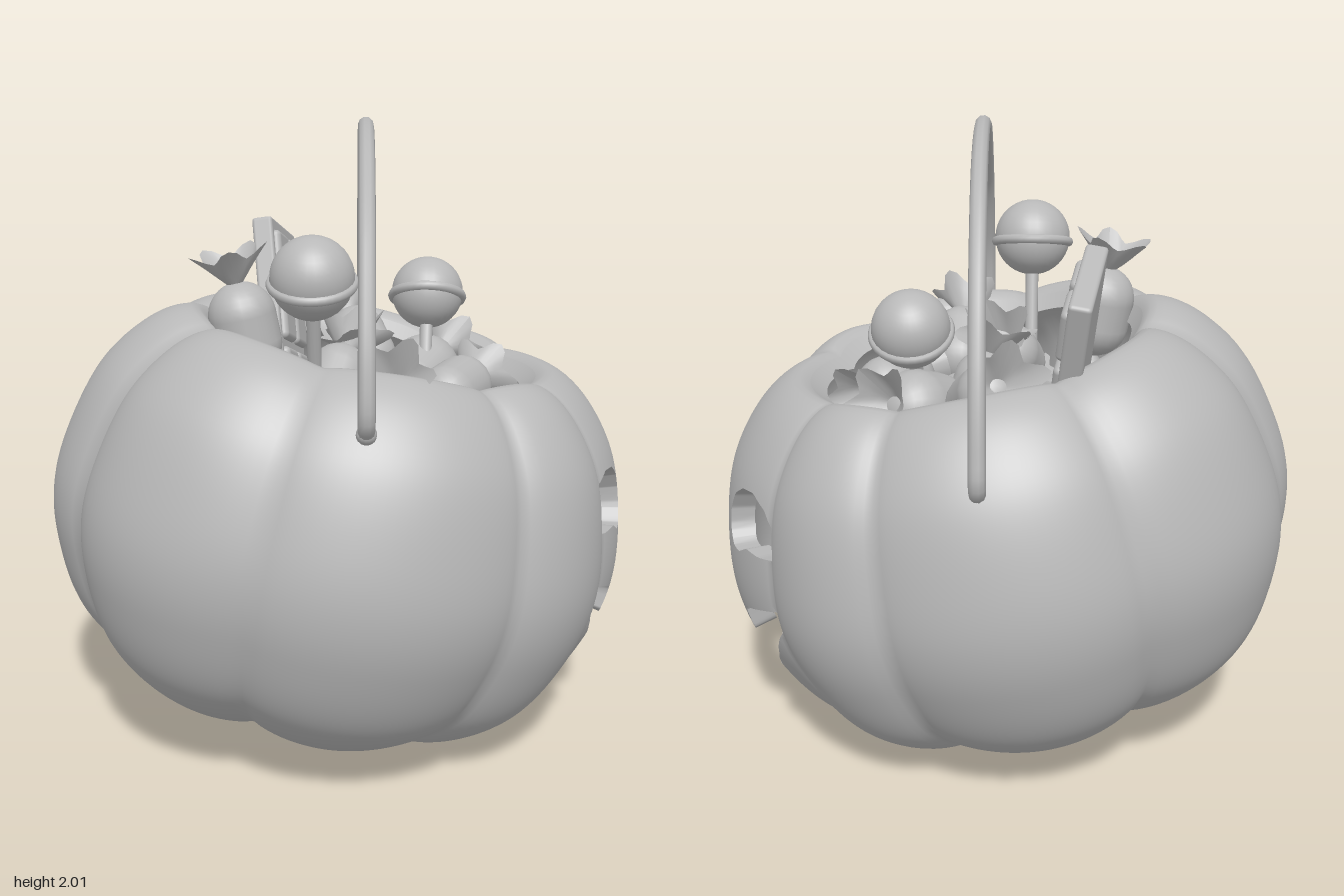
import * as THREE from 'three';
import { mergeVertices } from 'three/addons/utils/BufferGeometryUtils.js';
import { RoundedBoxGeometry } from 'three/addons/geometries/RoundedBoxGeometry.js';

const V = (x, y, z) => new THREE.Vector3(x, y, z);
const UP = V(0, 1, 0);
const grey = new THREE.MeshStandardMaterial({ color: 0xb8b8b8, side: THREE.DoubleSide });
grey.name = 'plain grey';

function add(parent, name, geometry) {
  const mesh = new THREE.Mesh(geometry, grey);
  mesh.name = name;
  parent.add(mesh);
  return mesh;
}

function fromTriangles(points) {
  const g = mergeVertices(new THREE.BufferGeometry().setFromPoints(points), 1e-4);
  g.computeVertexNormals();
  return g;
}

// Face cut-outs as [z, y] outlines, cut through the +x side
const eye = [[.49, .75], [.47, .83], [.42, .89], [.35, .92], [.28, .91], [.22, .87], [.19, .81],
  [.19, .75], [.23, .70], [.29, .70], [.35, .735], [.42, .735]];
const cutouts = [
  eye,
  eye.map(([z, y]) => [.035 - z, y]),
  [[.035, .75], [.015, .75], [-.04, .635], [-.025, .615], [.075, .615], [.09, .635]],
  [[.49, .585], [.28, .495], [.28, .415], [.265, .4], [.175, .4], [.16, .415], [.16, .47], [-.105, .47],
    [-.105, .415], [-.12, .4], [-.21, .4], [-.225, .415], [-.235, .495], [-.455, .58], [-.455, .515],
    [-.365, .39], [-.275, .30], [-.155, .245], [0, .223], [.165, .245], [.29, .31], [.40, .415], [.485, .535]],
];

// Signed distance to an outline, negative inside
function outlineDistance(poly, z, y) {
  let d = Infinity, inside = false;
  poly.forEach(([az, ay], i) => {
    const [bz, by] = poly[(i + 1) % poly.length];
    const ez = bz - az, ey = by - ay;
    const t = THREE.MathUtils.clamp(((z - az) * ez + (y - ay) * ey) / (ez * ez + ey * ey), 0, 1);
    d = Math.min(d, Math.hypot(z - az - ez * t, y - ay - ey * t));
    if ((ay > y) !== (by > y) && z < az + ez * (y - ay) / ey) inside = !inside;
  });
  return inside ? -d : d;
}

// Lobed, tilted bucket: outer skin, inner skin and the walls of every cut
function buildPumpkin(root) {
  const NU = 200, NV = 90;
  const profile = new THREE.CatmullRomCurve3([[0, -.52], [.15, -.57], [.35, -.655], [.56, -.615], [.78, -.45],
    [.895, -.22], [.93, -.04], [.91, .15], [.835, .38], [.72, .53], [.63, .59], [.57, .6], [.53, .57]]
    .map(([r, y]) => V(r, y, 0))).getSpacedPoints(NV);
  // Grooves between lobes: angle in degrees, depth
  const grooves = [[-31, .04], [31, .04], [61, .055], [113, .06], [161, .07],
    [199, .07], [250, .065], [301, .055], [329, .04]].map(([a, d]) => [THREE.MathUtils.degToRad(a), d]);
  const lobe = angle => {
    const a = angle >= grooves[8][0] ? angle - 2 * Math.PI : angle;
    const k = Math.max(0, grooves.findLastIndex(g => a >= g[0]));
    const [a0, d0] = grooves[k], [a1, d1] = grooves[k + 1];
    const s = (a - a0) / (a1 - a0);
    return 1 - (d0 + (d1 - d0) * s) * (1 - Math.pow(Math.max(0, Math.sin(Math.PI * s)), .65));
  };
  const place = new THREE.Matrix4().makeRotationZ(-.19).setPosition(0, .71, 0);
  const grid = [];
  for (let i = 0; i < NU; i++) {
    const w = 2 * Math.PI * i / NU, a = w - .5 * Math.sin(w), m = lobe(a);
    grid.push(profile.map((p, j) => {
      const r = p.x * m, y = p.y * (1 + (m - 1) * Math.min(1, p.x / .3));
      const local = V(1.02 * r * Math.cos(a), y, .98 * r * Math.sin(a));
      const o = local.clone().applyMatrix4(place);
      const n = local.multiplyScalar(.92).applyMatrix4(place);
      let f = (NV - .5 - j) * .02;
      if (o.x > .3) for (const c of cutouts) f = Math.min(f, outlineDistance(c, o.z, o.y));
      return { o, n, f };
    }));
  }
  const outer = [], inner = [], walls = [];
  const clip = tri => {
    const poly = [], cut = [];
    tri.forEach((p, i) => {
      const q = tri[(i + 1) % 3];
      if (p.f >= 0) poly.push(p);
      if ((p.f >= 0) !== (q.f >= 0)) {
        const t = p.f / (p.f - q.f);
        const c = { o: p.o.clone().lerp(q.o, t), n: p.n.clone().lerp(q.n, t) };
        poly.push(c);
        if (p.f >= 0) cut.unshift(c); else cut.push(c);
      }
    });
    for (let k = 2; k < poly.length; k++) {
      const [a, b, c] = [poly[0], poly[k - 1], poly[k]];
      outer.push(a.o, b.o, c.o);
      inner.push(a.n, c.n, b.n);
    }
    if (cut.length === 2) {
      const [a, b] = cut;
      walls.push(a.o, a.n, b.n, a.o, b.n, b.o);
    }
  };
  for (let i = 0; i < NU; i++) for (let j = 0; j < NV; j++) {
    const next = grid[(i + 1) % NU];
    const a = grid[i][j], b = grid[i][j + 1], c = next[j + 1], d = next[j];
    clip([a, b, c]);
    clip([a, c, d]);
  }
  add(root, 'pumpkinOuterSkin', fromTriangles(outer));
  add(root, 'pumpkinInnerSkin', fromTriangles(inner));
  add(root, 'pumpkinCutWalls', fromTriangles(walls));
}

// Carrying handle with rounded ends
function buildHandle(root) {
  const pts = [[.765, 1.18], [.80, 1.22], [.79, 1.35], [.74, 1.5], [.615, 1.71], [.35, 1.91], [0, 1.975],
    [-.37, 1.895], [-.605, 1.69], [-.74, 1.45], [-.81, 1.21], [-.82, 1.11], [-.78, 1.075]]
    .map(([z, y]) => V(.085 - .125 * z, y, z));
  add(root, 'handle', new THREE.TubeGeometry(new THREE.CatmullRomCurve3(pts), 90, .025, 10));
  for (const p of [pts[0], pts[12]]) add(root, 'handleEnd', new THREE.SphereGeometry(.03, 14, 10)).position.copy(p);
}

// Ball on a stick with a ridge around the middle
function buildLollipop(root, head, base, r) {
  const g = new THREE.Group();
  g.name = 'lollipop';
  const len = head.distanceTo(base);
  add(g, 'lollipopBall', new THREE.SphereGeometry(r, 28, 20));
  const band = add(g, 'lollipopRidge', new THREE.TorusGeometry(r - .004, .016, 8, 36));
  band.rotation.x = Math.PI / 2;
  band.position.y = -.015;
  add(g, 'lollipopStick', new THREE.CylinderGeometry(.022, .022, len, 12)).position.y = -len / 2;
  g.position.copy(head);
  g.quaternion.setFromUnitVectors(UP, head.clone().sub(base).normalize());
  root.add(g);
}

// Softly pleated paper fan of a twisted wrapper
function wrapperFan() {
  const g = new THREE.CylinderGeometry(.11, .02, .1, 30, 3, true);
  const p = g.attributes.position;
  for (let i = 0; i < p.count; i++) {
    const t = p.getY(i) / .1 + .5;
    const wave = Math.cos(10 * Math.PI * (i % 31) / 30) * t;
    const k = 1 + .2 * wave;
    p.setXYZ(i, p.getX(i) * k, p.getY(i) + .018 * wave, p.getZ(i) * k * .85);
  }
  g.computeVertexNormals();
  return g;
}

function buildCandy(root, [x, y, z, ax, ay, az, r, len]) {
  const g = new THREE.Group();
  g.name = 'wrappedCandy';
  add(g, 'candyBody', new THREE.CapsuleGeometry(r, len, 8, 20));
  for (const s of [1, -1]) {
    const fan = add(g, 'wrapperFan', wrapperFan());
    fan.position.y = s * (len / 2 + r + .04);
    if (s < 0) fan.rotation.x = Math.PI;
  }
  g.position.set(x, y, z);
  g.quaternion.setFromUnitVectors(UP, V(ax, ay, az).normalize());
  root.add(g);
}

// Leaning bar with two columns of raised squares
function buildBar(root) {
  const g = new THREE.Group();
  g.name = 'chocolateBar';
  add(g, 'barSlab', new RoundedBoxGeometry(.07, .66, .35, 2, .012));
  for (let i = -1; i <= 1; i++) for (const s of [-1, 1]) {
    const sq = add(g, 'barSquare', new RoundedBoxGeometry(.05, .175, .145, 3, .02));
    sq.position.set(.03, i * .2, s * .082);
  }
  const side = V(-.3, .32, .9).normalize();
  const normal = V(-.05, .92, -.33).cross(side).normalize();
  const up = side.clone().cross(normal);
  g.quaternion.setFromRotationMatrix(new THREE.Matrix4().makeBasis(normal, up, side));
  g.position.set(-.165, 1.295, -.32);
  root.add(g);
}

export function createModel() {
  const root = new THREE.Group();
  root.name = 'pumpkinCandyBucket';
  buildPumpkin(root);
  buildHandle(root);
  buildLollipop(root, V(-.12, 1.55, .35), V(-.09, .95, .17), .128);
  buildLollipop(root, V(.33, 1.4, -.22), V(.28, .95, .02), .122);
  buildBar(root);
  // Candies: position, axis, radius, straight length
  const candies = [
    [-.31, 1.35, .1, -.2, 1, -.03, .108, .09],
    [.12, 1.2, -.32, -.2, .5, -.8, .1, .12],
    [.37, 1.13, .09, .5, .05, -.75, .1, .12],
    [.13, 1.17, .36, -.15, .5, .75, .1, .1],
    [-.03, 1.18, .16, .35, .6, -.7, .1, .08],
    [.29, 1.12, -.16, .6, .35, -.7, .12, .1],
    [.1, 1.12, -.02, -.3, .9, .1, .1, .08],
    // Middle of the pile
    [.3, .92, .27, .4, .2, -1, .11, .12],
    [.3, .9, -.25, .5, .2, 1, .11, .12],
    [.02, .95, .02, 1, .1, .5, .12, .12],
    // Bottom of the pile
    [.5, .26, .01, 0, 0, 1, .1, .14],
    [.35, .3, .28, .3, .1, -1, .09, .1],
    [.35, .28, -.27, .3, -.1, 1, .09, .1],
  ];
  candies.forEach(c => buildCandy(root, c));
  return root;
}
